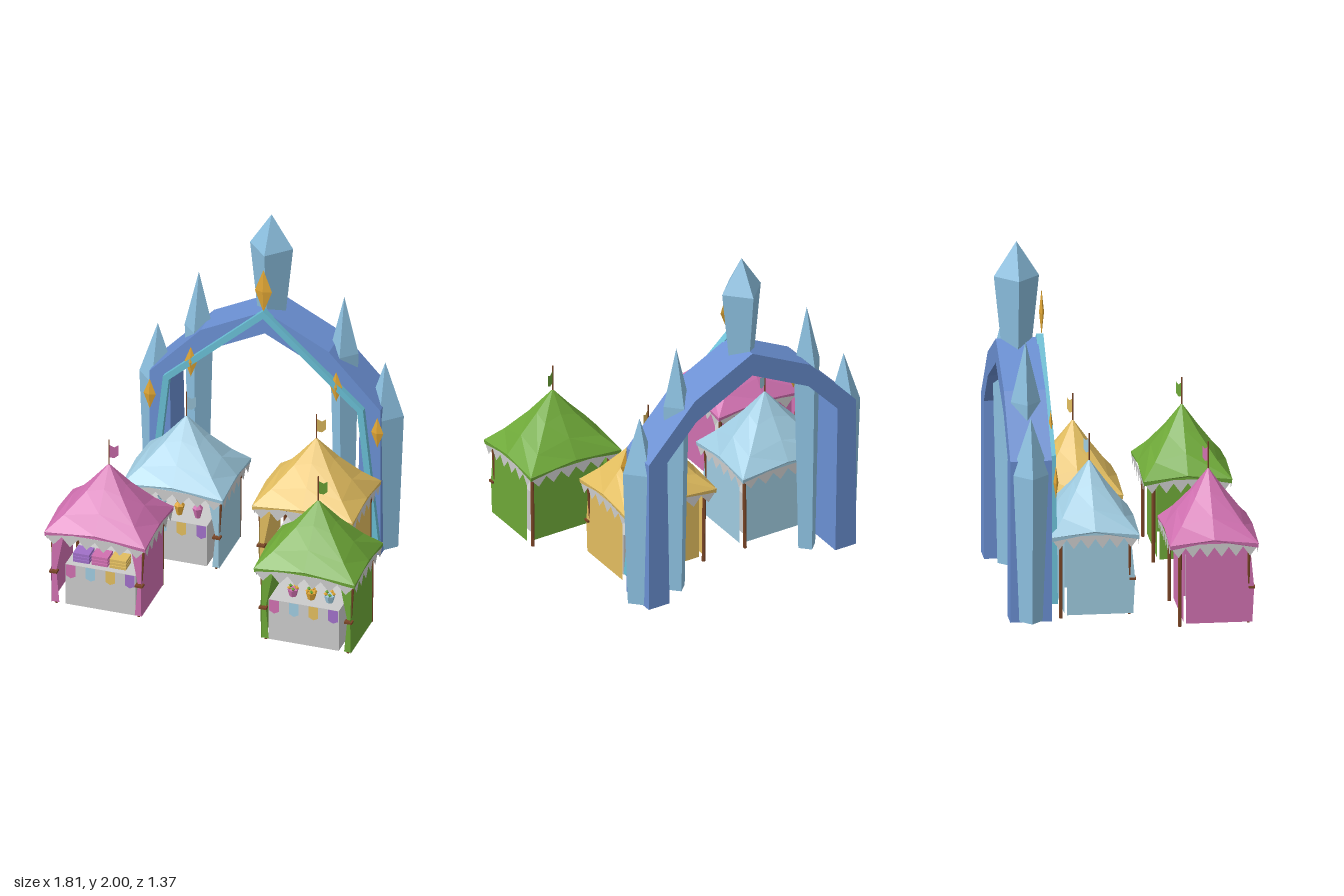
import * as THREE from 'three';

const mat = (color, side = THREE.FrontSide) => new THREE.MeshStandardMaterial({ color, flatShading: true, side });
const COL = { pink: 0xd070b0, green: 0x6ea838, yellow: 0xe2bd5f, sky: 0x9fcbe0, purple: 0xa070c8,
  brown: 0x7a4526, grey: 0xcccccc, gold: 0xe0a635, tower: 0x8cc0e0, arch: 0x6a8fd2, trim: 0x68bcd2 };

function add(parent, name, geo, color, pos = [0, 0, 0], side) {
  const m = new THREE.Mesh(geo, mat(color, side));
  m.name = name;
  m.position.set(...pos);
  parent.add(m);
  return m;
}

// Pole between two points
function pole(parent, name, a, b, r, color) {
  const A = new THREE.Vector3(...a), B = new THREE.Vector3(...b), d = B.clone().sub(A);
  const m = add(parent, name, new THREE.CylinderGeometry(r, r, d.length(), 6), color);
  m.position.copy(A).add(B).multiplyScalar(0.5);
  m.quaternion.setFromUnitVectors(new THREE.Vector3(0, 1, 0), d.normalize());
}

// Flat polygon, always visible from both sides
function flat(parent, name, pts, color, pos, rotY = 0) {
  const shape = new THREE.Shape(pts.map(p => new THREE.Vector2(...p)));
  add(parent, name, new THREE.ShapeGeometry(shape), color, pos, THREE.DoubleSide).rotation.y = rotY;
}

// Tent roof: rings of 8 points, corners droop and the middles of the edges lift
function roofGeometry(hw, hd) {
  const rings = [[0, 0.84, 0.84], [0.35, 0.69, 0.72], [0.7, 0.565, 0.61], [1, 0.48, 0.507], [0.99, 0.455, 0.5]];
  const dirs = [[1, 1], [1, 0], [1, -1], [0, -1], [-1, -1], [-1, 0], [-1, 1], [0, 1]];
  const pos = [], idx = [];
  rings.forEach(([s, yc, ym]) => dirs.forEach(([x, z], i) => pos.push(x * hw * s, i % 2 ? ym : yc, z * hd * s)));
  for (let r = 0; r < rings.length - 1; r++) for (let i = 0; i < 8; i++) {
    const a = r * 8 + i, b = r * 8 + (i + 1) % 8;
    if (r > 0) idx.push(a, b + 8, b);
    idx.push(a, a + 8, b + 8);
  }
  const g = new THREE.BufferGeometry();
  g.setAttribute('position', new THREE.Float32BufferAttribute(pos, 3));
  g.setIndex(idx);
  g.computeVertexNormals();
  return g;
}

// Row of pennants under one eave
function bunting(parent, length, pos, rotY, n = 6) {
  const w = length / n, pts = [[-length / 2, 0.485], [-length / 2, 0.465]];
  for (let i = 0; i < n; i++) {
    const x = -length / 2 + i * w;
    pts.push([x + w / 2, 0.41], [x + w, 0.465]);
  }
  pts.push([length / 2, 0.485]);
  flat(parent, 'bunting', pts, COL.grey, pos, rotY);
}

// Goods on the counters
const goods = {
  cloth(p, x, y, z, i) {
    const c = [COL.purple, COL.pink, COL.yellow][i];
    for (let k = 0; k < 3; k++)
      add(p, 'foldedCloth', new THREE.BoxGeometry(0.095, 0.016, 0.09), c, [x, y + 0.01 + k * 0.02, z]);
  },
  pots(p, x, y, z, i) {
    const c = [COL.pink, COL.gold, COL.sky][i];
    add(p, 'pot', new THREE.CylinderGeometry(0.032, 0.02, 0.045, 6), c, [x, y + 0.022, z]);
    for (let k = 0; k < 5; k++) {
      const a = k * 1.257;
      add(p, 'flower', new THREE.OctahedronGeometry(0.013), k % 2 ? COL.green : COL.gold,
        [x + Math.cos(a) * 0.023, y + 0.055, z + Math.sin(a) * 0.023]);
    }
  },
  vases(p, x, y, z, i) {
    const profile = [[0.001, 0], [0.015, 0], [0.03, 0.06], [0.013, 0.08], [0.022, 0.1]].map(q => new THREE.Vector2(...q));
    add(p, 'vase', new THREE.LatheGeometry(profile, 6), [COL.sky, COL.gold, COL.pink][i], [x, y, z], THREE.DoubleSide);
  },
  crates(p, x, y, z) {
    for (const s of [-1, 1])
      add(p, 'crate', new THREE.BoxGeometry(0.036, 0.036, 0.07), COL.gold, [x + s * 0.02, y + 0.018, z]);
  },
};

function stall(name, x, z, color, mirror, item) {
  const g = new THREE.Group();
  g.name = name;
  g.position.set(x, 0, z);
  add(g, 'roof', roofGeometry(0.295, 0.247), color, [0, 0, 0], THREE.DoubleSide);

  // Bunting on all four eaves
  for (const s of [-1, 1]) {
    bunting(g, 0.58, [0, 0, s * 0.245], 0);
    bunting(g, 0.48, [s * 0.292, 0, 0], Math.PI / 2);
  }

  // Back wall, side walls with a bulging front edge, tied curtain flaps and posts
  flat(g, 'backWall', [[-0.23, 0.02], [0.23, 0.02], [0.23, 0.49], [-0.23, 0.49]], color, [0, 0, -0.165]);
  for (const s of [-1, 1]) {
    flat(g, 'sideWall', [[0.155, 0.02], [0.155, 0.48], [-0.2, 0.48], [-0.225, 0.22], [-0.215, 0.02]],
      color, [s * 0.262, 0, 0], Math.PI / 2);
    flat(g, 'curtainFlap', [[s * 0.262, 0.02], [s * 0.262, 0.48], [s * 0.19, 0.48], [s * 0.238, 0.22], [s * 0.22, 0.02]],
      color, [0, 0, 0.205]);
    add(g, 'curtainTie', new THREE.BoxGeometry(0.045, 0.012, 0.035), COL.brown, [s * 0.25, 0.22, 0.212]);
    pole(g, 'frontPost', [s * 0.24, 0.01, 0.195], [s * 0.27, 0.47, 0.195], 0.008, COL.brown);
    pole(g, 'backPost', [s * 0.245, 0, -0.187], [s * 0.25, 0.47, -0.187], 0.01, COL.brown);
  }

  // Counter with pennants and goods
  const cx = mirror * 0.018;
  add(g, 'counter', new THREE.BoxGeometry(0.41, 0.255, 0.3), COL.grey, [cx, 0.1425, 0.05]);
  [COL.pink, COL.sky, COL.yellow, COL.purple].forEach((c, i) =>
    flat(g, 'counterPennant', [[-0.028, 0.27], [-0.028, 0.2], [0, 0.185], [0.028, 0.2], [0.028, 0.27]],
      c, [cx + (i - 1.5) * 0.115, 0, 0.203]));
  for (let i = 0; i < 3; i++) goods[item](g, (i - 1) * 0.107, 0.27, 0.12, i);

  // Flag
  pole(g, 'flagPole', [0, 0.82, 0], [0, 0.99, 0], 0.004, COL.brown);
  flat(g, 'flag', [[0, 0.88], [0.03, 0.87], [0.052, 0.885], [0.052, 0.95], [0.03, 0.94], [0, 0.96]], color, [0, 0, 0], 0.5);
  return g;
}

// Symmetric arch outline from its right half, extruded along z
function archGeometry(outer, inner, depth) {
  const flip = pts => pts.slice(0, -1).reverse().map(([x, y]) => [-x, y]);
  const pts = [...outer, ...flip(outer), ...flip(inner).reverse(), ...inner.slice().reverse()];
  const shape = new THREE.Shape(pts.map(p => new THREE.Vector2(...p)));
  return new THREE.ExtrudeGeometry(shape, { depth, bevelEnabled: false });
}

// Four-sided crystal: pointed top, wide shoulder, narrow foot
function tower(parent, x, foot, footR, shoulder, shoulderR, tip) {
  const profile = [[0, foot], [footR, foot], [shoulderR, shoulder], [0, tip]].map(p => new THREE.Vector2(...p));
  add(parent, 'crystalTower', new THREE.LatheGeometry(profile, 4), COL.tower, [x, 0, -0.56]);
}

function gem(parent, x, y, w, h) {
  add(parent, 'gem', new THREE.OctahedronGeometry(1), COL.gold, [x, y, -0.42]).scale.set(w, h, 0.014);
}

export function createModel() {
  const root = new THREE.Group();
  root.name = 'festivalMarket';

  // Gateway
  const gate = new THREE.Group();
  gate.name = 'gateway';
  root.add(gate);
  add(gate, 'arch', archGeometry([[0.675, 0], [0.675, 0.93], [0.375, 1.25], [0, 1.44]],
    [[0.54, 0], [0.555, 0.91], [0.365, 1.115], [0, 1.3]], 0.232), COL.arch, [0, 0, -0.675]);
  add(gate, 'archTrim', archGeometry([[0.675, 0.1], [0.585, 0.93], [0, 1.46]],
    [[0.638, 0.1], [0.55, 0.915], [0, 1.41]], 0.04), COL.trim, [0, 0, -0.45]);
  tower(gate, 0, 1.26, 0.07, 1.8, 0.126, 2);
  gem(gate, 0, 1.585, 0.05, 0.135);
  for (const s of [-1, 1]) {
    tower(gate, s * 0.425, 0.01, 0.055, 1.2, 0.083, 1.55);
    tower(gate, s * 0.665, 0.005, 0.075, 0.85, 0.108, 1.175);
    gem(gate, s * 0.425, 1.05, 0.036, 0.095);
    gem(gate, s * 0.665, 0.8, 0.036, 0.095);
  }

  // Stalls
  root.add(
    stall('pinkStall', -0.612, 0.435, COL.pink, 1, 'cloth'),
    stall('greenStall', 0.612, 0.435, COL.green, -1, 'pots'),
    stall('blueStall', -0.375, -0.2, COL.sky, -1, 'vases'),
    stall('yellowStall', 0.385, -0.2, COL.yellow, 1, 'crates'));
  return root;
}
